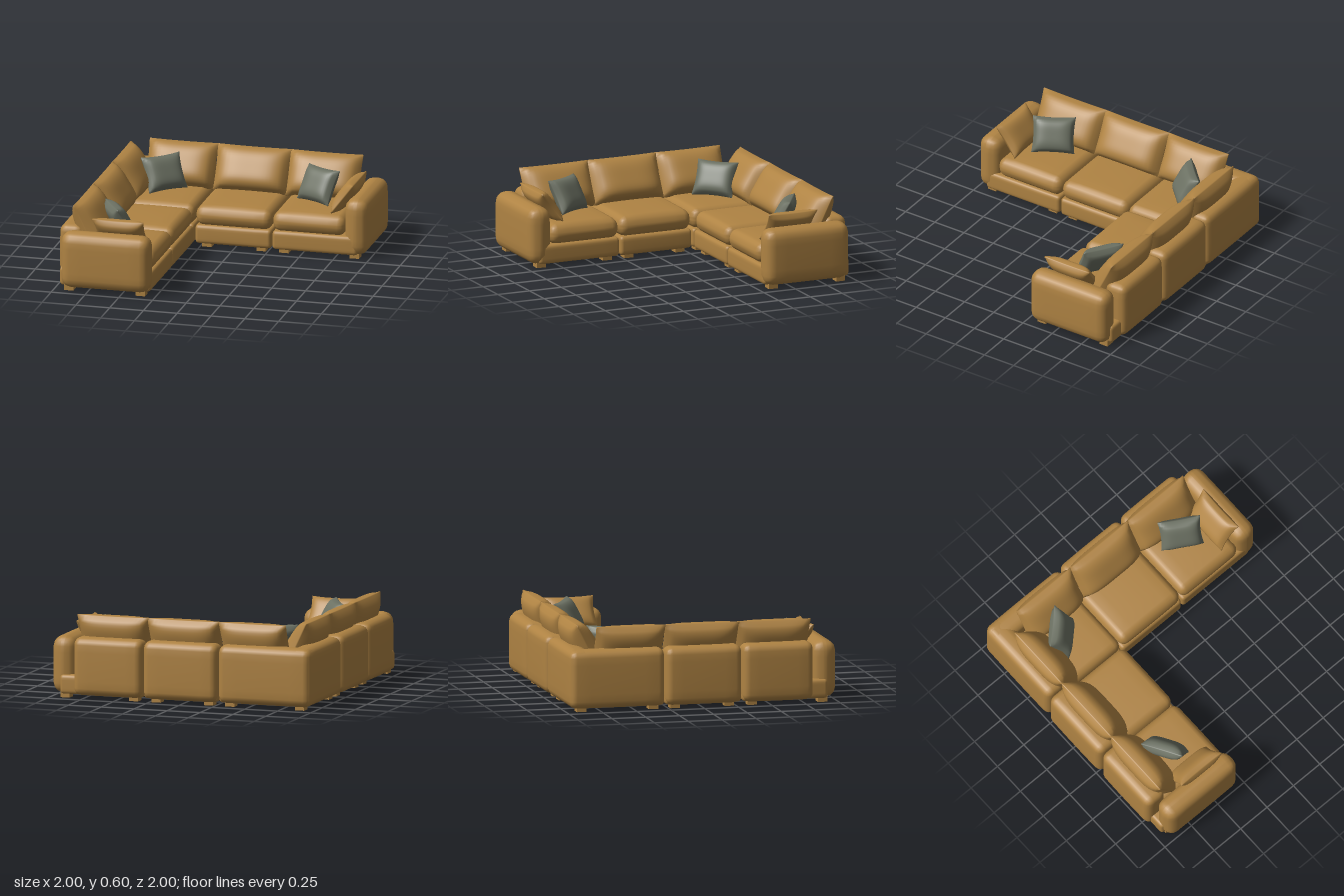
import * as THREE from 'three';
import { mergeVertices } from 'three/addons/utils/BufferGeometryUtils.js';

const tan = new THREE.MeshStandardMaterial({ color: 0xaf8343 });
tan.name = 'tan upholstery';
const grey = new THREE.MeshStandardMaterial({ color: 0x6c7163 });
grey.name = 'grey fabric';

// Moves every vertex of a subdivided cube (-1..1) by a rule and smooths the result
function shapeCube(nx, ny, nz, rule) {
  let geo = new THREE.BoxGeometry(2, 2, 2, nx, ny, nz);
  geo.deleteAttribute('normal');
  geo.deleteAttribute('uv');
  const pos = geo.attributes.position;
  for (let i = 0; i < pos.count; i++) {
    pos.setXYZ(i, ...rule([pos.getX(i), pos.getY(i), pos.getZ(i)]));
  }
  geo = mergeVertices(geo, 1e-5);
  geo.computeVertexNormals();
  return geo;
}

// Upholstered block: rounded edges of radius r, faces puffed outwards per axis
function softBox(size, r, puff = [0, 0, 0]) {
  return shapeCube(10, 10, 10, (t) => {
    const q = t.map((v) => Math.sign(v) * Math.max(0, (Math.abs(v) - 0.6) / 0.4));
    const len = Math.hypot(...q) || 1;
    return t.map((v, i) => {
      const a = t[(i + 1) % 3], b = t[(i + 2) % 3];
      const inner = THREE.MathUtils.clamp(v / 0.6, -1, 1) * (size[i] / 2 - r);
      return inner + (q[i] / len) * r + puff[i] * v * (1 - a * a) * (1 - b * b);
    });
  });
}

// Scatter pillow: thin seamed rim, full middle, pinched sides; sag fattens the bottom
function pillowGeometry(w, h, thick, pinch, sag) {
  return shapeCube(18, 18, 2, ([u, v, s]) => {
    const full = Math.pow((1 - u ** 4) * (1 - v ** 4), 0.6);
    return [
      (u * w / 2) * (1 - pinch * (1 - v * v)),
      (v * h / 2) * (1 - pinch * (1 - u * u)),
      s * (0.005 + (thick / 2) * full * (1 - sag * v)),
    ];
  });
}

function add(parent, name, geo, mat) {
  const mesh = new THREE.Mesh(geo, mat);
  mesh.name = name;
  parent.add(mesh);
  return mesh;
}

// Block given by its minimum and maximum corners; side = -1 mirrors it in x
function block(parent, name, min, max, r, puff, side = 1) {
  const size = min.map((v, i) => max[i] - v);
  const mesh = add(parent, name, softBox(size, r, puff), tan);
  mesh.position.set(side * (min[0] + max[0]) / 2, (min[1] + max[1]) / 2, (min[2] + max[2]) / 2);
  return mesh;
}

function pillow(parent, name, mat, [w, h, thick], [x, y, z], [tilt, yaw, roll], side = 1, pinch = 0.07, sag = 0) {
  const mesh = add(parent, name, pillowGeometry(w, h, thick, pinch, sag), mat);
  mesh.rotation.order = 'YXZ';
  mesh.rotation.set(tilt, side * yaw, side * roll);
  mesh.position.set(side * x, y, z);
}

function foot(parent, x, z) {
  const mesh = add(parent, 'foot', new THREE.BoxGeometry(0.07, 0.045, 0.07), tan);
  mesh.position.set(x, 0.0225, z);
}

// One straight run of the sofa: a middle seat, an end seat with arm, and the backs
function wing(side) {
  const g = new THREE.Group();
  const seatPuff = [0.006, 0.014, 0.006];

  // Bases and seat cushions
  block(g, 'middleBase', [-0.28, 0.03, -0.96], [0.282, 0.17, -0.287], 0.025, [0, 0, 0.004], side);
  block(g, 'endBase', [0.29, 0.03, -0.96], [0.92, 0.17, -0.287], 0.025, [0, 0, 0.002], side);
  block(g, 'middleSeat', [-0.278, 0.165, -0.9], [0.28, 0.305, -0.29], 0.055, seatPuff, side);
  block(g, 'endSeat', [0.29, 0.165, -0.9], [0.825, 0.305, -0.29], 0.055, seatPuff, side);

  // Back panels
  for (const [name, x0, x1, z0] of [
    ['cornerBack', -0.985, -0.286, -0.985],
    ['middleBack', -0.28, 0.282, -0.992],
    ['endBack', 0.29, 0.81, -0.992],
  ]) {
    block(g, name, [x0, 0.03, z0], [x1, 0.445, -0.82], 0.05, [0, 0.005, 0.008], side);
  }

  // Arm
  block(g, 'arm', [0.82, 0.03, -0.94], [0.99, 0.44, -0.285], 0.07, [0.006, 0.004, 0.004], side);

  // Leaning back cushions
  for (const [x, w] of [[-0.515, 0.51], [0.01, 0.55], [0.54, 0.54]]) {
    pillow(g, 'backCushion', tan, [w, 0.335, 0.19], [x, 0.45, -0.81], [-0.45, 0, 0], side, 0.02, 0.25);
  }

  // Scatter pillows at the arm
  pillow(g, 'armPillow', tan, [0.38, 0.265, 0.1], [0.79, 0.425, -0.54], [-0.65, -Math.PI / 2, 0], side);
  pillow(g, 'greyPillow', grey, [0.31, 0.265, 0.11], [0.55, 0.44, -0.61], [-0.5, -0.55, 0.03], side);

  // Feet
  for (const x of [-0.2, 0.2, 0.37, 0.89]) {
    for (const z of [-0.89, -0.36]) foot(g, side * x, z);
  }
  return g;
}

export function createModel() {
  const sofa = new THREE.Group();
  sofa.name = 'cornerSofa';

  const backWing = wing(1);
  backWing.name = 'backWing';
  const sideWing = wing(-1);
  sideWing.name = 'sideWing';
  sideWing.rotation.y = Math.PI / 2;
  sofa.add(backWing, sideWing);

  // Corner seat shared by both wings
  const corner = new THREE.Group();
  corner.name = 'cornerUnit';
  block(corner, 'cornerBase', [-0.96, 0.03, -0.96], [-0.287, 0.17, -0.287], 0.025);
  block(corner, 'cornerSeat', [-0.9, 0.165, -0.9], [-0.287, 0.305, -0.287], 0.055, [0, 0.014, 0]);
  pillow(corner, 'greyPillow', grey, [0.31, 0.265, 0.11], [-0.59, 0.44, -0.6], [-0.5, 0.76, 0]);
  for (const x of [-0.89, -0.36]) {
    for (const z of [-0.89, -0.36]) foot(corner, x, z);
  }
  sofa.add(corner);
  return sofa;
}
